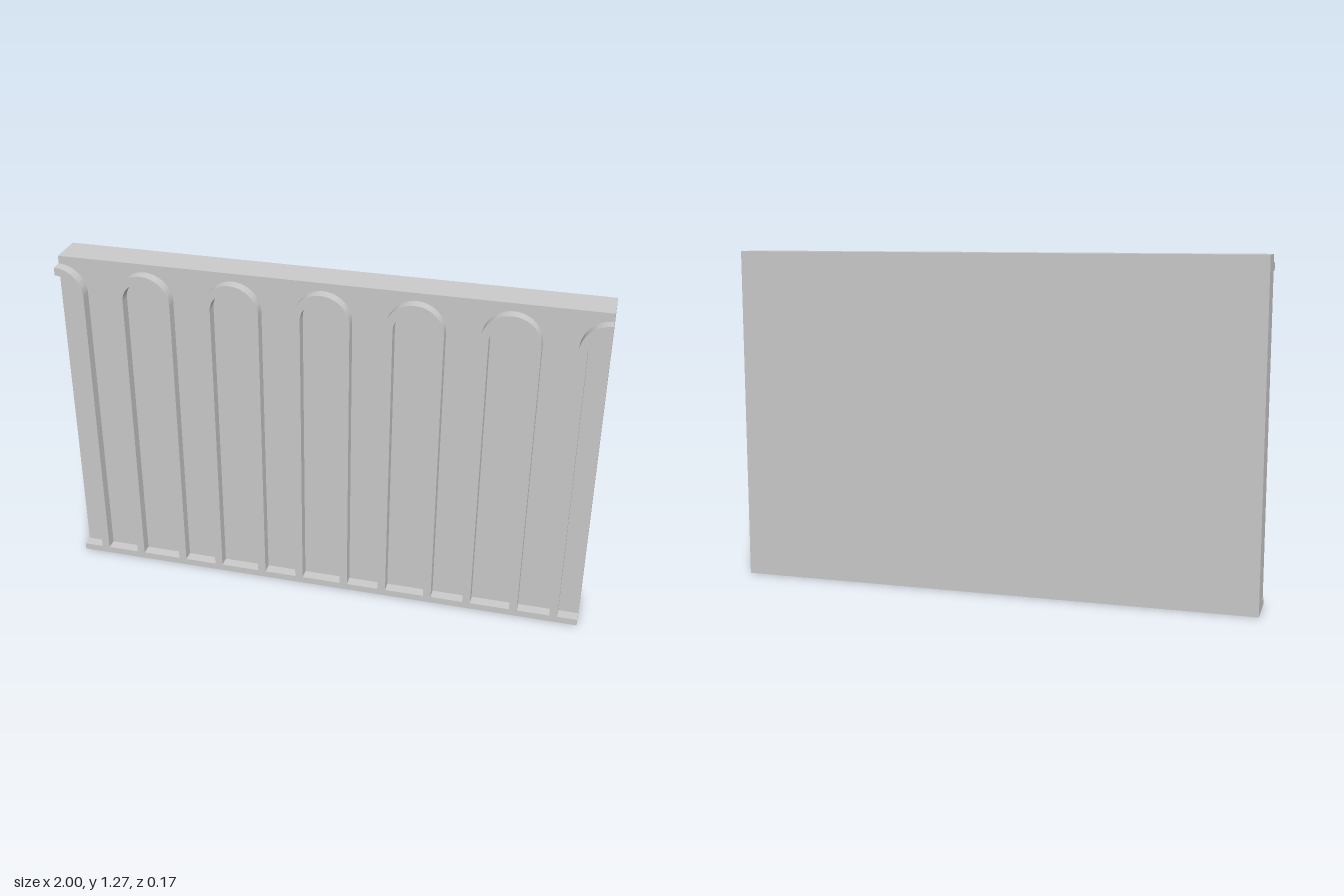
import * as THREE from 'three';
import { toCreasedNormals } from 'three/addons/utils/BufferGeometryUtils.js';

const WIDTH = 2, HEIGHT = 1.275;
const BACK = -0.087, FACE = 0.045, FRONT = 0.087;
const BASE = 0.026, SPRING = 1.14, OUTER = 0.105, INNER = 0.075;
const SPACING = WIDTH / 6;

const material = new THREE.MeshStandardMaterial({ color: 0xcccccc });

function addBox(group, name, height, z0, z1) {
  const mesh = new THREE.Mesh(new THREE.BoxGeometry(WIDTH, height, z1 - z0), material);
  mesh.position.set(0, height / 2, (z0 + z1) / 2);
  mesh.name = name;
  group.add(mesh);
}

// Arch band swept from angle a0 to a1, with a straight leg below each springing end
function archGeometry(a0, a1) {
  const shape = new THREE.Shape();
  const rightLeg = a0 === 0, leftLeg = a1 === Math.PI;
  if (rightLeg) {
    shape.moveTo(INNER, BASE);
    shape.lineTo(OUTER, BASE);
  }
  shape.absarc(0, SPRING, OUTER, a0, a1, false);
  if (leftLeg) {
    shape.lineTo(-OUTER, BASE);
    shape.lineTo(-INNER, BASE);
  }
  shape.absarc(0, SPRING, INNER, a1, a0, true);
  shape.closePath();
  const geometry = new THREE.ExtrudeGeometry(shape, {
    depth: FRONT - FACE, bevelEnabled: false, curveSegments: 32,
  });
  return toCreasedNormals(geometry, 0.5);
}

export function createModel() {
  const group = new THREE.Group();

  // Wall slab and the low plinth strip along its foot
  addBox(group, 'wallPanel', HEIGHT, BACK, FACE);
  addBox(group, 'plinthStrip', BASE, FACE, FRONT);

  // Row of raised arches; the end ones are cut in half at the panel edges
  const full = archGeometry(0, Math.PI);
  const rightHalf = archGeometry(0, Math.PI / 2);
  const leftHalf = archGeometry(Math.PI / 2, Math.PI);
  for (let i = -3; i <= 3; i++) {
    const geometry = i === -3 ? rightHalf : i === 3 ? leftHalf : full;
    const arch = new THREE.Mesh(geometry, material);
    arch.position.set(i * SPACING, 0, FACE);
    arch.name = Math.abs(i) === 3 ? 'halfArch' : 'arch';
    group.add(arch);
  }
  return group;
}
